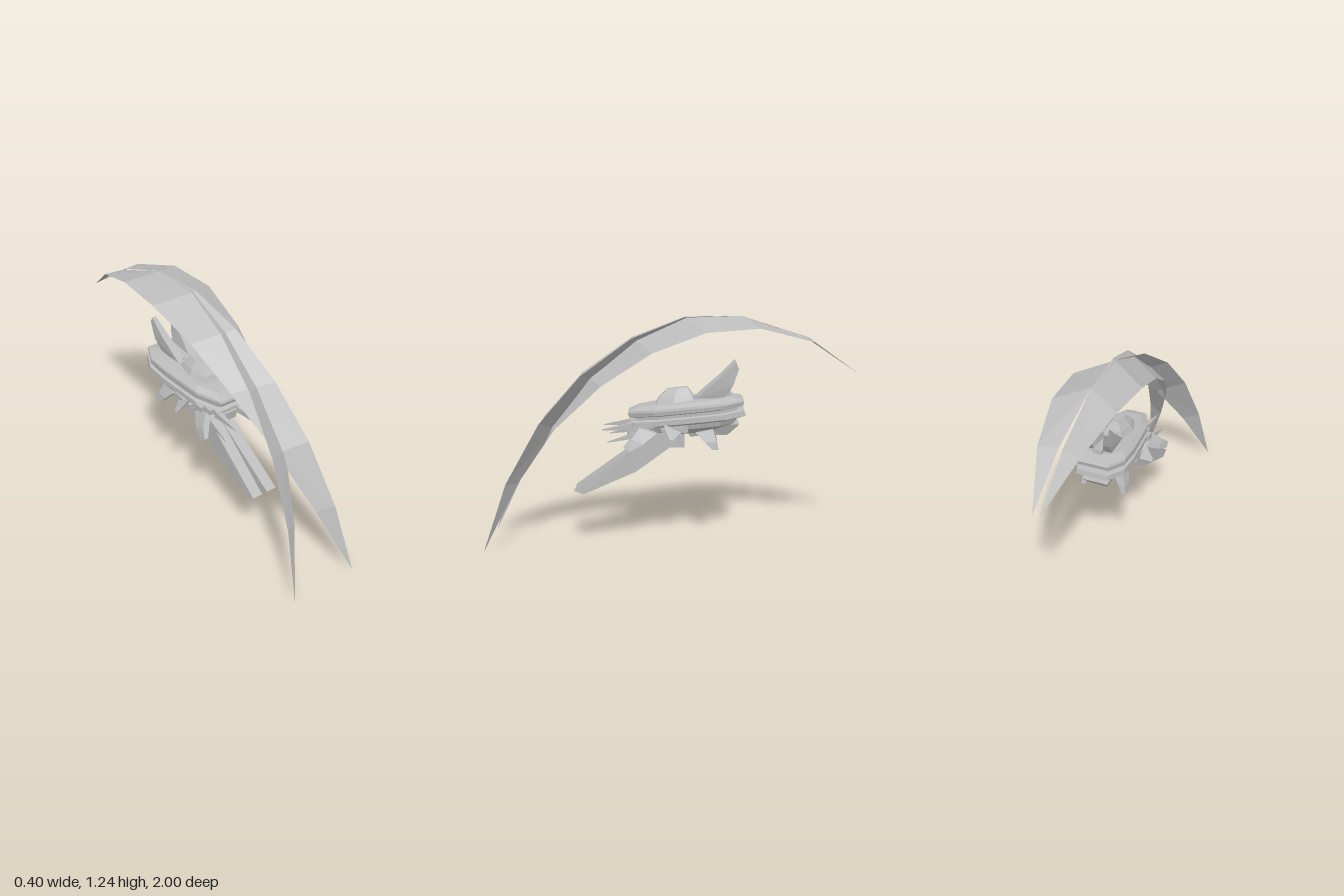
import * as THREE from 'three';

const grey = new THREE.MeshStandardMaterial({ color: 0xbbbbbb, flatShading: true, side: THREE.DoubleSide });
grey.name = 'hull grey';

// Skin a list of rings; closed rings get end caps.
function loft(name, rings, closed = true) {
  const n = rings[0].length, idx = [];
  rings.slice(1).forEach((_, r) => {
    for (let i = 0; i < (closed ? n : n - 1); i++) {
      const a = r * n + i, b = r * n + (i + 1) % n;
      idx.push(a, b, b + n, a, b + n, a + n);
    }
  });
  if (closed) {
    const last = (rings.length - 1) * n;
    for (let i = 1; i < n - 1; i++) idx.push(0, i + 1, i, last, last + i, last + i + 1);
  }
  const g = new THREE.BufferGeometry();
  g.setAttribute('position', new THREE.Float32BufferAttribute(rings.flat(2), 3));
  g.setIndex(idx);
  const flat = g.toNonIndexed();
  flat.computeVertexNormals();
  const m = new THREE.Mesh(flat, grey);
  m.name = name;
  return m;
}

// Fin from side-profile sections [x, halfWidth, yA, zA, yB, zB].
const fin = (name, s, sections) => loft(name, sections.map(([x, w, ya, za, yb, zb]) => [
  [s * (x - w), ya, za], [s * (x + w), ya, za], [s * (x + w), yb, zb], [s * (x - w), yb, zb],
]));

// Stacked layers [y, scale] of a symmetric plan outline.
const halfPlan = [[0.055, 0.3], [0.115, 0.16], [0.138, -0.08], [0.138, -0.22], [0.085, -0.32]];
const plan = [...halfPlan, ...halfPlan.map(([x, z]) => [-x, z]).reverse()];
const stack = (name, layers, outline = plan) =>
  loft(name, layers.map(([y, k, kz = k]) => outline.map(([x, z]) => [x * k, y, z * kz])));

function box(name, w, h, d, x, y, z) {
  const m = new THREE.Mesh(new THREE.BoxGeometry(w, h, d), grey);
  m.name = name;
  m.position.set(x, y, z);
  return m;
}

export function createModel() {
  const model = new THREE.Group();
  model.name = 'solarSailShip';

  // Two crescent sails that cross on the centre line: upper and lower edges
  const upper = [[0.2, 0, 1], [0.16, 0.36, 0.88], [0.12, 0.68, 0.7], [0.083, 0.93, 0.48], [0.047, 1.125, 0.21],
    [0.015, 1.235, -0.07], [0, 1.24, -0.37], [-0.01, 1.12, -0.72], [-0.018, 0.93, -1]];
  const lower = [[0.2, 0, 1], [0.072, 0.34, 0.83], [-0.03, 0.63, 0.63], [-0.11, 0.88, 0.37], [-0.155, 1.06, 0.1],
    [-0.184, 1.17, -0.18], [-0.166, 1.19, -0.46], [-0.11, 1.115, -0.74], [-0.018, 0.93, -1]];
  for (const s of [1, -1]) {
    const rings = upper.map((u, i) => [u, lower[i]].map(([x, y, z]) => [s * x, y, z]));
    model.add(loft(s > 0 ? 'leftSail' : 'rightSail', rings, false));
  }

  // Layered hull, stern raised
  const hull = new THREE.Group();
  hull.name = 'hull';
  hull.position.set(0, 0.72, -0.07);
  hull.rotation.x = 0.115;
  hull.add(
    stack('upperDeck', [[0.072, 0.78], [0.052, 0.98], [0.04, 1], [0.02, 0.98], [0.014, 0.88]]),
    stack('deckGroove', [[0.016, 0.88], [-0.006, 0.88]]),
    stack('lowerDeck', [[-0.002, 0.9], [-0.008, 0.99], [-0.035, 1], [-0.045, 0.86]]),
    stack('belly', [[-0.043, 0.86], [-0.07, 0.8], [-0.1, 0.5]]),
    // Bridge
    stack('bridge', [[0.065, 1], [0.1, 0.75, 0.85], [0.142, 0.3, 0.5]],
      [[0.045, 0.15], [0.08, 0.05], [0.06, -0.06], [-0.06, -0.06], [-0.08, 0.05], [-0.045, 0.15]]),
    box('sternRidge', 0.05, 0.03, 0.2, 0, 0.078, -0.16),
    box('bowBlock', 0.09, 0.05, 0.08, 0, -0.05, 0.27),
  );
  for (const s of [1, -1]) {
    for (let i = 0; i < 3; i++) hull.add(box('bowEmitter', 0.025, 0.03, 0.05, s * (0.06 + i * 0.025), -0.025, 0.28 - i * 0.045));
    hull.add(box('sidePod', 0.03, 0.035, 0.14, s * 0.11, -0.065, 0.06));
  }
  model.add(hull);

  // Belly block and rear keel
  model.add(box('bellyBlock', 0.1, 0.09, 0.09, 0, 0.585, -0.025));
  model.add(box('bellyFrame', 0.14, 0.04, 0.14, 0, 0.62, 0.02));
  model.add(fin('rearKeel', 1, [[0, 0.07, 0.67, -0.06, 0.67, -0.36], [0, 0.045, 0.6, -0.1, 0.61, -0.3]]));

  for (const s of [1, -1]) {
    // Long blades reaching forward and down
    model.add(fin('lowerBlade', s, [
      [0.032, 0.025, 0.67, 0.02, 0.57, -0.03],
      [0.033, 0.032, 0.55, 0.19, 0.41, 0.19],
      [0.047, 0.03, 0.305, 0.525, 0.285, 0.475],
    ]));
    // Raised stern fins
    model.add(fin('sternFin', s, [
      [0.04, 0.022, 0.81, -0.13, 0.81, -0.28],
      [0.055, 0.02, 0.92, -0.26, 0.88, -0.325],
      [0.065, 0.012, 1.0, -0.34, 0.97, -0.355],
    ]));
    // Splayed front and rear legs
    model.add(fin('frontLeg', s, [
      [0.09, 0.025, 0.66, 0.17, 0.63, 0.08],
      [0.14, 0.02, 0.61, 0.21, 0.58, 0.15],
      [0.17, 0.012, 0.57, 0.25, 0.545, 0.22],
    ]));
    model.add(fin('rearLeg', s, [
      [0.07, 0.025, 0.65, -0.22, 0.63, -0.13],
      [0.1, 0.02, 0.59, -0.24, 0.58, -0.18],
      [0.115, 0.012, 0.545, -0.25, 0.545, -0.215],
    ]));
    // Spikes on the bow and flanks
    model.add(fin('bowSpike', s, [[0.06, 0.018, 0.68, 0.2, 0.64, 0.2], [0.07, 0.002, 0.643, 0.37, 0.639, 0.37]]));
    model.add(fin('lowerBowSpike', s, [[0.085, 0.015, 0.65, 0.14, 0.61, 0.12], [0.115, 0.002, 0.585, 0.34, 0.581, 0.34]]));
    model.add(fin('flankSpike', s, [[0.11, 0.015, 0.68, 0.04, 0.64, -0.05], [0.178, 0.003, 0.614, 0.01, 0.608, -0.01]]));
  }
  return model;
}
